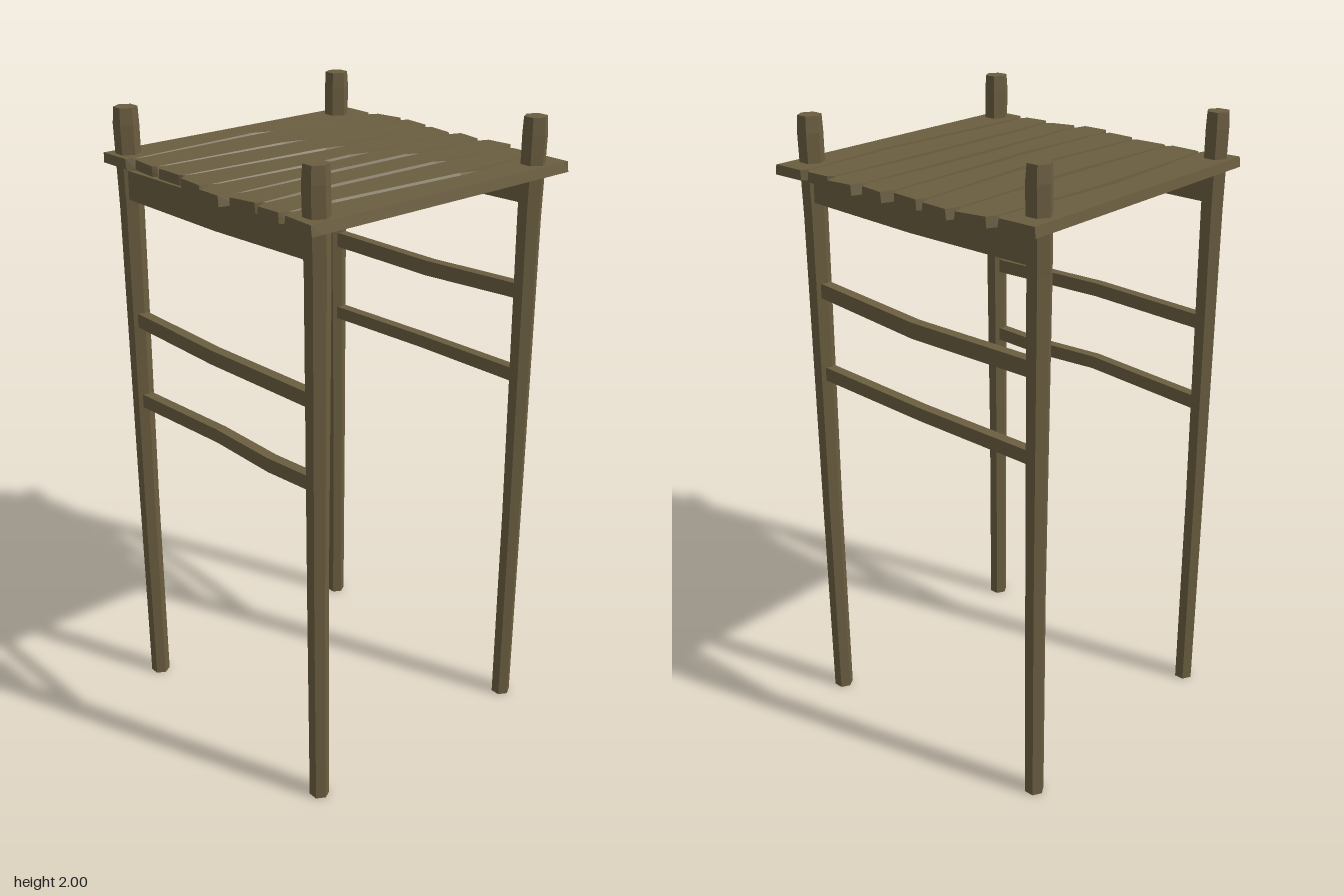
import * as THREE from 'three';

// Faceted solid through a series of matching rings, capped at both ends.
function loft(rings) {
  const pos = [];
  const tri = (a, b, c) => pos.push(...a, ...b, ...c);
  const n = rings[0].length;
  for (let r = 0; r < rings.length - 1; r++) {
    const a = rings[r], b = rings[r + 1];
    for (let i = 0; i < n; i++) {
      const j = (i + 1) % n;
      tri(a[i], a[j], b[j]);
      tri(a[i], b[j], b[i]);
    }
  }
  const first = rings[0], last = rings[rings.length - 1];
  for (let i = 1; i < n - 1; i++) {
    tri(first[0], first[i + 1], first[i]);
    tri(last[0], last[i], last[i + 1]);
  }
  const g = new THREE.BufferGeometry();
  g.setAttribute('position', new THREE.Float32BufferAttribute(pos, 3));
  g.computeVertexNormals();
  return g;
}

export function createModel() {
  const group = new THREE.Group();
  const wood = new THREE.MeshStandardMaterial({ color: 0x6b5e40 });
  wood.name = 'weathered wood';
  const add = (name, rings) => {
    const mesh = new THREE.Mesh(loft(rings), wood);
    mesh.name = name;
    group.add(mesh);
  };

  // Four rough hexagonal posts: [height, radius, sideways drift]
  const postProfile = [[0, 0.031, 0], [0.7, 0.032, 0.002], [1.7, 0.037, -0.003], [1.95, 0.039, 0.001], [2, 0.036, 0]];
  const postX = { left: 0.389, right: -0.4365 };
  for (const side of ['left', 'right']) {
    for (const [end, z] of [['front', 0.441], ['back', -0.436]]) {
      const s = Math.sign(postX[side]);
      add(`${end} ${side} post`, postProfile.map(([y, r, drift]) =>
        Array.from({ length: 6 }, (_, i) => {
          const a = i * Math.PI / 3;
          return [postX[side] + s * drift + r * Math.sin(a), y, z + r * Math.cos(a)];
        })));
    }
  }

  // Bars running back to front: stations are [z, bottom, top, x shift]
  const bar = (name, x, width, stations, topWidth = width) =>
    add(name, stations.map(([z, lo, hi, dx = 0]) => [
      [x + dx - width / 2, lo, z], [x + dx + width / 2, lo, z],
      [x + dx + topWidth / 2, hi, z], [x + dx - topWidth / 2, hi, z]]));

  bar('upper left rail', postX.left, 0.034, [[-0.43, 1.405, 1.455], [0.02, 1.41, 1.46, 0.008], [0.43, 1.443, 1.49]]);
  bar('lower left rail', postX.left, 0.034, [[-0.43, 1.14, 1.183], [0, 1.154, 1.196, 0.008], [0.43, 1.168, 1.212]]);
  bar('upper right rail', postX.right, 0.034, [[-0.43, 1.312, 1.358], [0, 1.32, 1.365, -0.018], [0.43, 1.32, 1.365]]);
  bar('lower right rail', postX.right, 0.034,
    [[-0.43, 1.035, 1.08], [0, 1.063, 1.106, -0.008], [0.24, 1.055, 1.1, -0.004], [0.43, 1.066, 1.11]]);

  // Deep side beams and shallow bearers below the deck
  for (const side of ['left', 'right']) {
    bar(`${side} deck beam`, postX[side], 0.042,
      [[-0.43, 1.725, 1.814], [0.02, 1.728, 1.822], [0.43, 1.743, 1.828]]);
  }
  for (const x of [-0.317, 0.255]) {
    bar('deck bearer', x, 0.085, [[-0.43, 1.806, 1.832], [0.43, 1.806, 1.832]], 0.112);
  }

  // Deck seams from back to front: [z at right end, mid x, z at mid, z at left end]
  const seams = [
    [-0.49, 0, -0.495, -0.5], [-0.36, 0, -0.376, -0.358], [-0.238, 0, -0.216, -0.23],
    [-0.108, 0.05, -0.075, -0.105], [0.02, -0.1, 0.04, 0.02], [0.139, 0.18, 0.138, 0.138],
    [0.255, -0.3, 0.256, 0.258], [0.367, 0.15, 0.398, 0.37], [0.498, 0, 0.497, 0.496]];
  // Plank end positions: [right end at back, at front, left end at back, at front]
  const ends = [
    [-0.49, -0.485, 0.48, 0.48], [-0.468, -0.474, 0.492, 0.508], [-0.472, -0.47, 0.508, 0.5],
    [-0.485, -0.491, 0.492, 0.482], [-0.515, -0.515, 0.502, 0.49], [-0.5, -0.48, 0.503, 0.511],
    [-0.495, -0.49, 0.481, 0.484], [-0.494, -0.5, 0.484, 0.484]];
  const lo = 1.83, hi = 1.861;
  const seamAt = (s, x) => {
    const [a, m, b, c] = s;
    return x < m ? a + (b - a) * (x + 0.465) / (m + 0.465) : b + (c - b) * (x - m) / (0.465 - m);
  };

  // Planks with clipped corners and a slanting front edge
  ends.forEach(([r0, r1, l0, l1], i) => {
    const back = seams[i], front = seams[i + 1];
    const insetB = i === 0 ? 0 : 0.014, insetF = i === 7 ? 0 : 0.014;
    const ring = (x0, x1, zb, zf, slant) => [
      [x0, lo, zb], [x0, hi, zb + 0.003], [x1, hi, zf - slant], [x1, lo, zf]];
    const mids = [...new Set([back[1], front[1]])].sort((a, b) => a - b);
    const full = (x, slant) => ring(x, x, seamAt(back, x), seamAt(front, x), slant);
    add('deck plank', [
      ring(r0, r1, back[0] + insetB, front[0] - insetF, 0.004),
      full(-0.462, 0.006),
      ...mids.map((x) => full(x, i === 7 ? 0.006 : 0.02)),
      full(0.465, 0.006),
      ring(l0, l1, back[3] + insetB, front[3] - insetF, 0.004)]);
  });

  return group;
}
